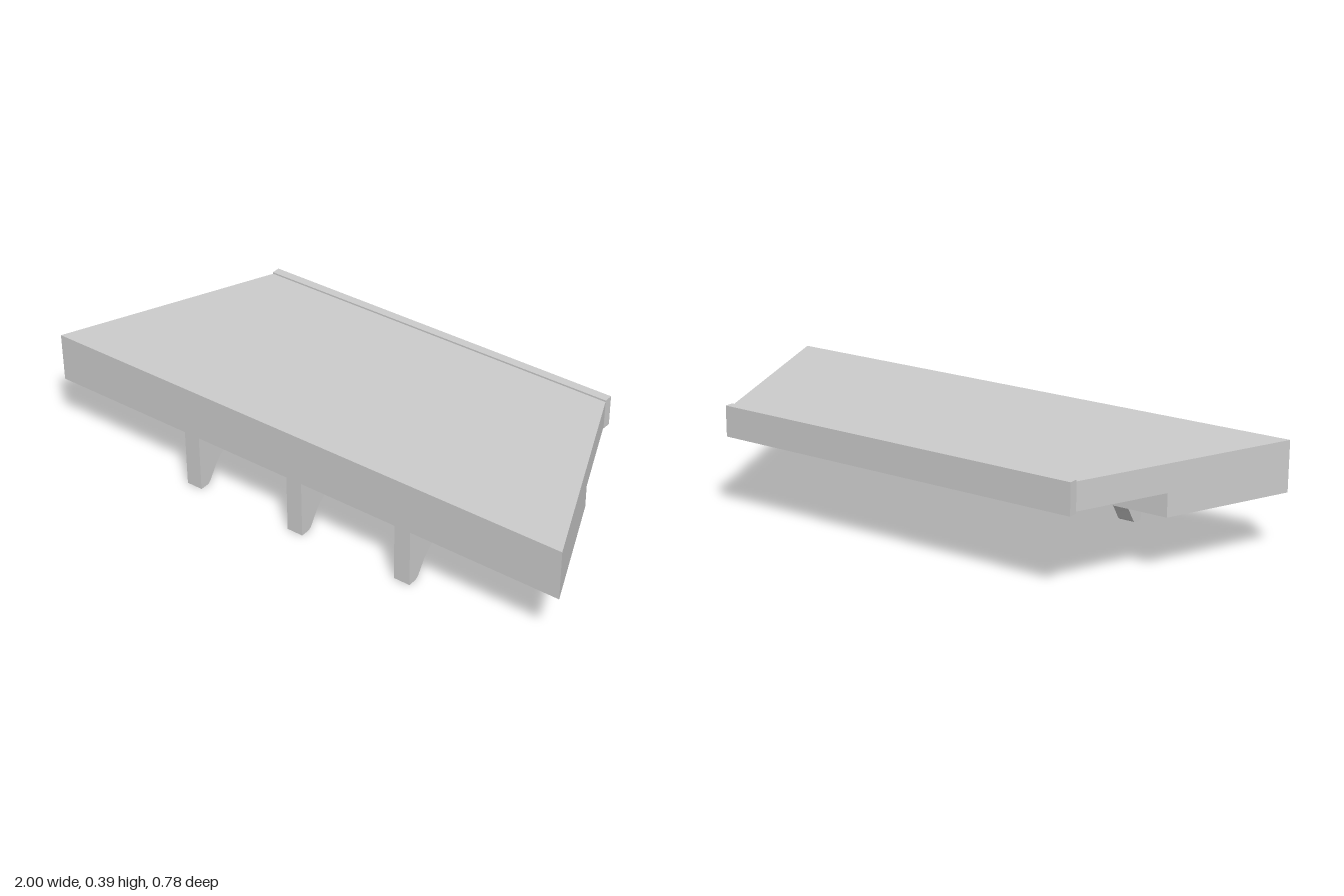
import * as THREE from 'three';
import { toCreasedNormals } from 'three/addons/utils/BufferGeometryUtils.js';

const FRONT = 0.392, BACK = -0.36;

// Extrude a side profile, drawn as (z, y), across x and centre it
function sideExtrude(shape, width) {
  const geo = new THREE.ExtrudeGeometry(shape, { depth: width, bevelEnabled: false, curveSegments: 5 });
  geo.translate(0, 0, -width / 2);
  geo.rotateY(-Math.PI / 2);
  return geo;
}

export function createModel() {
  const group = new THREE.Group();
  const material = new THREE.MeshStandardMaterial({ color: 0xcccccc });
  const add = (name, geo, x = 0, y = 0, z = 0) => {
    const mesh = new THREE.Mesh(geo, material);
    mesh.name = name;
    mesh.position.set(x, y, z);
    group.add(mesh);
  };

  // Stepped slab, narrowing towards the back
  const slabShape = new THREE.Shape([
    [FRONT, 0.205], [FRONT, 0.38], [BACK, 0.38],
    [BACK, 0.285], [-0.047, 0.285], [-0.047, 0.205],
  ].map(([z, y]) => new THREE.Vector2(z, y)));
  const slab = sideExtrude(slabShape, 2);
  const pos = slab.attributes.position;
  for (let i = 0; i < pos.count; i++) {
    const t = (FRONT - pos.getZ(i)) / (FRONT - BACK);
    pos.setX(i, pos.getX(i) * (1 - 0.313 * t));
  }
  slab.computeVertexNormals();
  add('slab', slab);

  // Thin strip along the back edge, slightly taller than the slab
  add('backStrip', new THREE.BoxGeometry(1.376, 0.108, 0.032), 0, 0.332, -0.376);

  // Three curved brackets under the front edge
  const b = new THREE.Shape();
  b.moveTo(FRONT, 0.205);
  b.lineTo(FRONT, 0);
  b.lineTo(0.363, 0);
  b.quadraticCurveTo(0.35, 0.001, 0.342, 0.014);
  b.lineTo(0.312, 0.06);
  b.lineTo(0.278, 0.09);
  b.lineTo(0.224, 0.12);
  b.lineTo(0.168, 0.144);
  b.quadraticCurveTo(0.157, 0.149, 0.157, 0.161);
  b.lineTo(0.157, 0.205);
  const bracket = toCreasedNormals(sideExtrude(b, 0.06), 0.6);
  [['rightBracket', -0.428], ['middleBracket', 0], ['leftBracket', 0.428]]
    .forEach(([name, x]) => add(name, bracket, x));

  return group;
}
